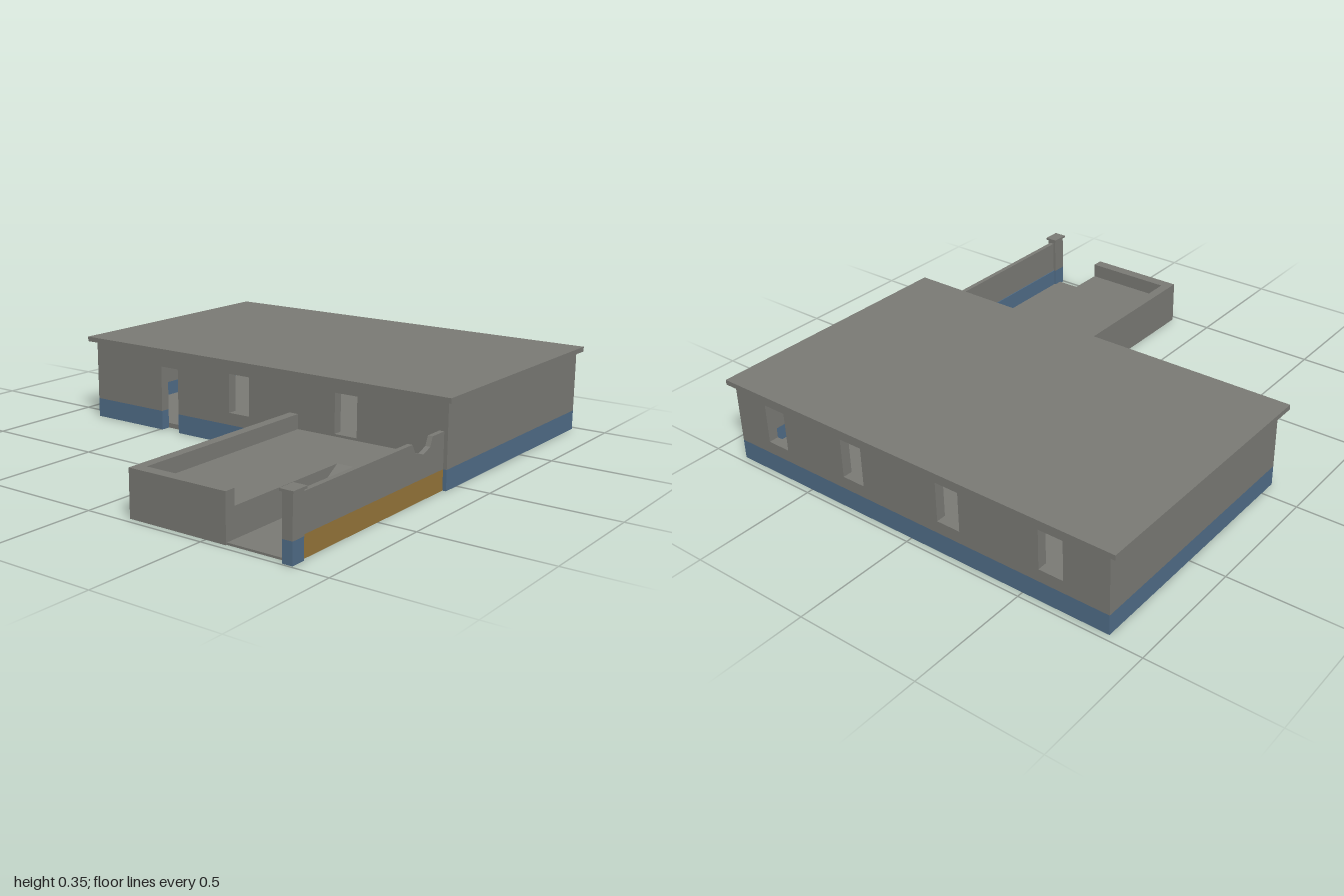
import * as THREE from 'three';

const material = (name, color) => {
  const m = new THREE.MeshStandardMaterial({ color });
  m.name = name;
  return m;
};

export function createModel() {
  const plaster = material('grey plaster', 0x7b7b76);
  const blue = material('blue plinth', 0x516e89);
  const ochre = material('ochre plinth', 0x97763a);
  const band = 0.08; // height of the painted plinth

  const group = (name, parent) => {
    const g = new THREE.Group();
    g.name = name;
    if (parent) parent.add(g);
    return g;
  };
  const add = (parent, name, geometry, mat) => {
    const mesh = new THREE.Mesh(geometry, mat);
    mesh.name = name;
    parent.add(mesh);
    return mesh;
  };
  // box from its limits on each axis
  const box = (parent, name, mat, [x0, x1], [y0, y1], [z0, z1]) => {
    const g = new THREE.BoxGeometry(x1 - x0, y1 - y0, z1 - z0);
    g.translate((x0 + x1) / 2, (y0 + y1) / 2, (z0 + z1) / 2);
    return add(parent, name, g, mat);
  };
  const polygon = (points) => new THREE.Shape(points.map(([x, y]) => new THREE.Vector2(x, y)));
  const extrude = (shape, depth) => new THREE.ExtrudeGeometry(shape, { depth, bevelEnabled: false });

  const model = group('walledBuilding');

  // Main hall: hollow shell, x -0.075..0.975, z -0.855..0.865
  const hall = group('mainHall', model);
  const top = 0.33, t = 0.04;
  const [xl, xr, zb, zf] = [-0.075, 0.975, -0.855, 0.865];
  box(hall, 'hallFloor', plaster, [xl + t, xr - t], [0, 0.02], [zb + t, zf - t]);
  box(hall, 'roofSlab', plaster, [-0.095, 1], [top, 0.35], [-0.89, 0.885]);
  for (const [name, z] of [['front', zf - t], ['back', zb]]) {
    box(hall, name + 'Wall', plaster, [xl + t, xr - t], [band, top], [z, z + t]);
    box(hall, name + 'Plinth', blue, [xl + t, xr - t], [0, band], [z, z + t]);
  }

  // Long side walls with window openings; the left one also has a door
  const sideWall = (name, x, windows, door) => {
    const outline = [[-zf, band]];
    const spans = door ? [[zb, door[0]], [door[1], zf]] : [[zb, zf]];
    if (door) {
      const [d0, d1] = door;
      outline.push([-d1, band], [-d1, 0.27], [-d0, 0.27], [-d0, band]);
    }
    outline.push([-zb, band], [-zb, top], [-zf, top]);
    const shape = polygon(outline);
    for (const z of windows) {
      shape.holes.push(polygon([[-z - 0.05, 0.13], [-z - 0.05, 0.29], [-z + 0.05, 0.29], [-z + 0.05, 0.13]]));
    }
    const g = extrude(shape, t);
    g.rotateY(Math.PI / 2);
    g.translate(x, 0, 0);
    add(hall, name + 'Wall', g, plaster);
    for (const span of spans) box(hall, name + 'Plinth', blue, [x, x + t], [0, band], span);
  };
  sideWall('right', xr - t, [0.66, 0.27, -0.18, -0.62]);
  sideWall('left', xl, [0.43, -0.08], [-0.49, -0.4]);

  // Raised terrace, open underneath
  const terrace = group('terrace', model);
  const deck = 0.12, edge = 0.585, yardFront = 0.83;
  box(terrace, 'terraceBackWall', plaster, [-0.975, xl], [0, 0.18], [0.17, 0.21]);
  box(terrace, 'terraceLeftWall', plaster, [-0.975, -0.93], [0, 0.18], [0.21, edge]);
  box(terrace, 'terraceDeck', plaster, [-0.93, xl], [deck - 0.012, deck], [0.21, edge]);
  box(terrace, 'terraceRiser', plaster, [-0.93, -0.355], [0, deck - 0.012], [edge - 0.008, edge]);
  box(terrace, 'rampLanding', plaster, [-0.355, xl], [deck - 0.012, deck], [edge, yardFront]);
  box(terrace, 'entrancePath', plaster, [-0.97, -0.535], [0, 0.008], [edge, yardFront + 0.015]);

  // Ramp from the path up to the deck
  const ramp = extrude(polygon([[-0.535, 0], [-0.52, 0], [-0.355, deck - 0.012], [-0.355, deck], [-0.535, 0.008]]), yardFront - edge);
  ramp.translate(0, 0, edge);
  add(terrace, 'ramp', ramp, plaster);

  // Street wall with a broken notch in its top edge
  const street = group('streetWall', model);
  const upper = extrude(polygon([
    [-0.935, band], [xl, band], [xl, 0.22], [-0.155, 0.22], [-0.17, 0.185],
    [-0.215, 0.168], [-0.27, 0.185], [-0.29, 0.22], [-0.935, 0.22],
  ]), 0.02);
  upper.translate(0, 0, yardFront);
  add(street, 'streetWallUpper', upper, plaster);
  box(street, 'streetPlinth', ochre, [-0.935, xl], [0, band], [yardFront, 0.85]);
  box(street, 'yardPlinth', blue, [-0.935, -0.355], [0, band], [yardFront - 0.004, yardFront]);

  // Gate post with a cap
  const post = group('gatePost', model);
  box(post, 'postBase', blue, [-0.993, -0.933], [0, band], [0.82, 0.86]);
  box(post, 'postShaft', plaster, [-0.993, -0.933], [band, 0.234], [0.82, 0.86]);
  box(post, 'postCap', plaster, [-1, -0.927], [0.234, 0.243], [0.813, 0.867]);

  return model;
}
